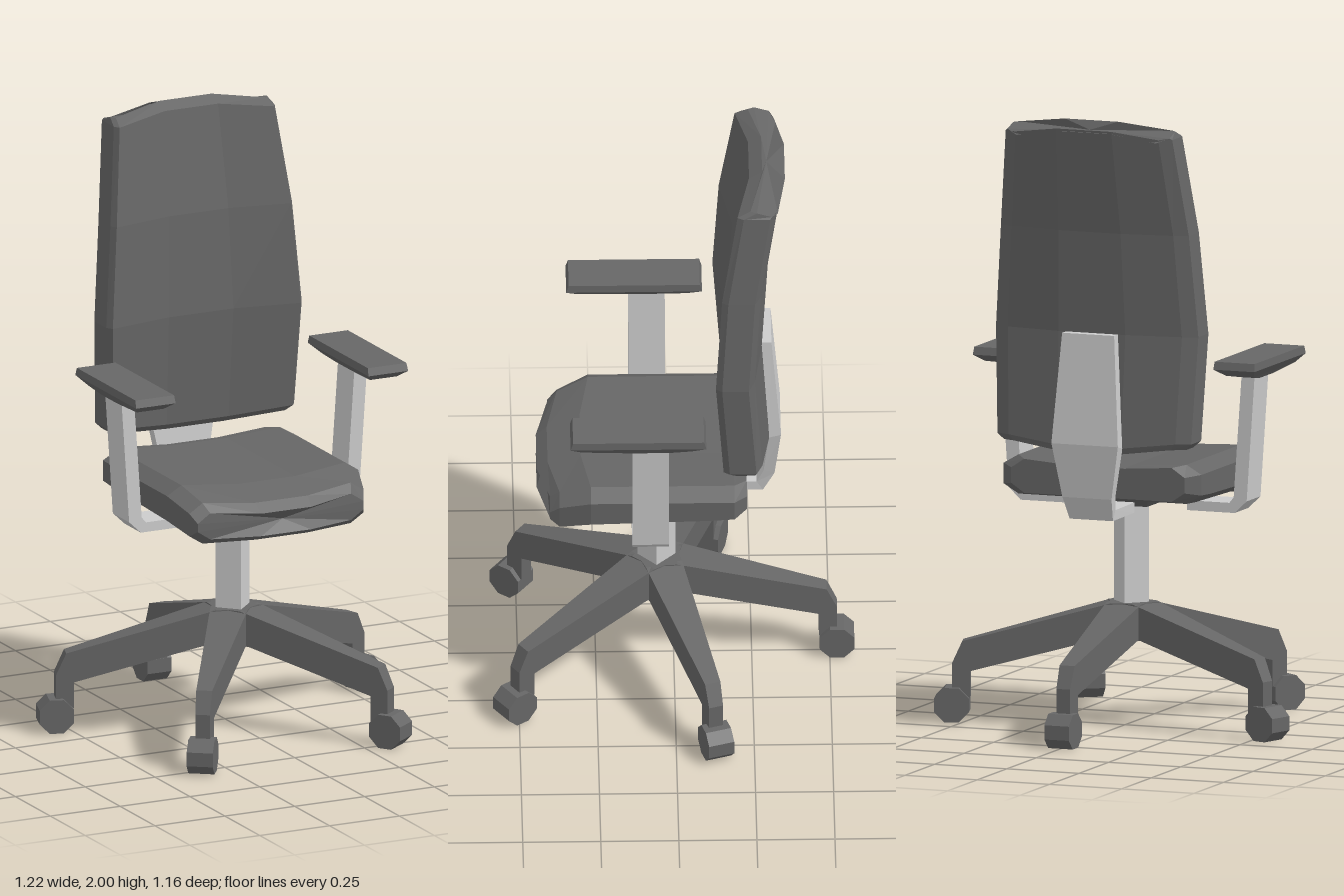
import * as THREE from 'three';

const dark = new THREE.MeshStandardMaterial({ color: 0x666666, flatShading: true });
const grey = new THREE.MeshStandardMaterial({ color: 0xcccccc, flatShading: true });

// Skin a row of equal-length closed rings ([x, y, z] points) and cap both ends.
function loft(rings) {
  const n = rings[0].length, last = rings.length - 1;
  const pos = rings.flat(2), idx = [];
  for (let r = 0; r < last; r++) {
    for (let i = 0; i < n; i++) {
      const a = r * n + i, b = r * n + (i + 1) % n;
      idx.push(a, b, b + n, a, b + n, a + n);
    }
  }
  [0, last].forEach((r) => {
    const c = pos.length / 3;
    for (let k = 0; k < 3; k++) pos.push(rings[r].reduce((s, p) => s + p[k], 0) / n);
    for (let i = 0; i < n; i++) {
      const a = r * n + i, b = r * n + (i + 1) % n;
      if (r === 0) idx.push(c, b, a); else idx.push(c, a, b);
    }
  });
  // Turn faces outward by checking the signed volume.
  const v = (i) => new THREE.Vector3().fromArray(pos, i * 3);
  let volume = 0;
  for (let i = 0; i < idx.length; i += 3) volume += v(idx[i]).dot(v(idx[i + 1]).cross(v(idx[i + 2])));
  if (volume < 0) idx.reverse();
  const geo = new THREE.BufferGeometry();
  geo.setAttribute('position', new THREE.Float32BufferAttribute(pos, 3));
  geo.setIndex(idx);
  const flat = geo.toNonIndexed();
  flat.computeVertexNormals();
  return flat;
}

function add(parent, name, geo, mat) {
  const mesh = new THREE.Mesh(geo, mat);
  mesh.name = name;
  parent.add(mesh);
  return mesh;
}

// Extrude a 2D outline, centred on its depth.
function slab(points, depth) {
  const shape = new THREE.Shape(points.map(([x, y]) => new THREE.Vector2(x, y)));
  return new THREE.ExtrudeGeometry(shape, { depth, bevelEnabled: false }).translate(0, 0, -depth / 2);
}

// Complete a half outline (x > 0) with its mirror image.
const mirrored = (half) => [...half, ...half.map(([x, y, z]) => [-x, y, z]).reverse()];

// Backrest cross-section: f is the front z at the middle, d the depth, c the middle's extra height.
function backRing(y, w, f, d, c = 0, tilt = 0) {
  return mirrored([
    [w * 0.33, y + c, f],
    [w * 0.96, y, f + 0.04],
    [w, y, f + 0.02],
    [w, y - tilt / 2, f + 0.045 - d],
    [w * 0.86, y - tilt, f + 0.025 - d],
    [w * 0.33, y + c - tilt, f - d],
  ]);
}

// Seat cross-section: bulge pushes the middle forward.
function seatRing(z, w, top, bottom, bulge = 0) {
  return mirrored([
    [w * 0.3, top - 0.012, z + bulge],
    [w * 0.85, top, z],
    [w, top - 0.03, z],
    [w, bottom + 0.03, z],
    [w * 0.85, bottom, z],
    [w * 0.3, bottom, z + bulge],
  ]);
}

const rectXZ = (y, x0, x1, z0, z1) => [[x0, y, z0], [x1, y, z0], [x1, y, z1], [x0, y, z1]];

export function createModel() {
  const chair = new THREE.Group();
  chair.name = 'officeChair';

  // Five-legged base with casters
  const base = new THREE.Group();
  base.name = 'base';
  base.position.z = 0.05;
  chair.add(base);
  const legOutline = [
    [-0.02, 0.28], [0.09, 0.28], [0.515, 0.165], [0.515, 0.08], [0.573, 0.08],
    [0.573, 0.19], [0.54, 0.262], [0.06, 0.395], [-0.02, 0.395],
  ];
  for (let k = 0; k < 5; k++) {
    const leg = new THREE.Group();
    leg.name = 'leg' + (k + 1);
    leg.rotation.y = Math.PI / 2 + k * Math.PI * 0.4;
    base.add(leg);
    const geo = slab(legOutline, 1);
    const p = geo.attributes.position;
    for (let i = 0; i < p.count; i++) p.setZ(i, p.getZ(i) * (0.13 - 0.145 * p.getX(i)));
    geo.computeVertexNormals();
    add(leg, 'legBeam', geo, dark);
    const wheel = new THREE.CylinderGeometry(0.06, 0.06, 0.085, 8);
    wheel.rotateY(Math.PI / 8).rotateX(Math.PI / 2).translate(0.573, 0.056, 0);
    add(leg, 'caster', wheel, dark);
  }

  // Square column turned corner-on
  add(chair, 'column', new THREE.CylinderGeometry(0.061, 0.061, 0.37, 4).translate(0, 0.565, 0.055), grey);

  // Seat cushion
  add(chair, 'seat', loft([
    seatRing(-0.23, 0.3, 0.88, 0.77),
    seatRing(-0.19, 0.342, 0.887, 0.76),
    seatRing(-0.11, 0.342, 0.887, 0.755),
    seatRing(0.27, 0.342, 0.887, 0.745, 0.03),
    seatRing(0.37, 0.312, 0.85, 0.715, 0.035),
    seatRing(0.4, 0.297, 0.822, 0.735, 0.04),
  ]), dark);

  // Mechanism under the seat
  add(chair, 'seatMount', loft([
    rectXZ(0.712, -0.08, 0.08, -0.01, 0.12),
    rectXZ(0.77, -0.14, 0.14, -0.14, 0.24),
  ]), dark);

  // Curved backrest
  add(chair, 'backrest', loft([
    backRing(0.945, 0.315, -0.215, 0.085, -0.02),
    backRing(0.965, 0.335, -0.195, 0.11, -0.02),
    backRing(1.31, 0.35, -0.17, 0.11),
    backRing(1.64, 0.325, -0.19, 0.11),
    backRing(1.955, 0.288, -0.24, 0.11, 0.022),
    backRing(1.975, 0.28, -0.282, 0.073, 0.025, 0.03),
  ]), dark);

  // Bent strip joining seat and backrest: half width, outer z/y, inner z/y
  const strip = [
    [0.09, -0.312, 1.31, -0.275, 1.31],
    [0.115, -0.342, 0.955, -0.303, 0.945],
    [0.085, -0.322, 0.78, -0.287, 0.79],
    [0.075, -0.285, 0.705, -0.265, 0.738],
    [0.07, -0.09, 0.705, -0.09, 0.738],
  ];
  add(chair, 'backSupport', loft(strip.map(([w, zo, yo, zi, yi]) =>
    [[-w, yo, zo], [w, yo, zo], [w, yi, zi], [-w, yi, zi]])), grey);

  // Armrests
  const armOutline = [
    [0.205, 0.705], [0.37, 0.705], [0.412, 0.745], [0.44, 1.16],
    [0.395, 1.16], [0.367, 0.755], [0.352, 0.737], [0.205, 0.737],
  ];
  for (const [side, s] of [['left', 1], ['right', -1]]) {
    const arm = new THREE.Group();
    arm.name = side + 'Armrest';
    chair.add(arm);
    const post = slab(armOutline.map(([x, y]) => [x * s, y]), 0.117).translate(0, 0, 0.08);
    add(arm, side + 'ArmPost', post, grey);
    const bands = [
      [1.147, 0.385, 0.455, 0.02, 0.14],
      [1.16, 0.37, 0.465, -0.05, 0.3],
      [1.185, 0.345, 0.487, -0.097, 0.338],
      [1.21, 0.347, 0.485, -0.09, 0.33],
    ];
    add(arm, side + 'ArmPad', loft(bands.map(([y, a, b, c, d]) => rectXZ(y, a * s, b * s, c, d))), dark);
  }
  return chair;
}
